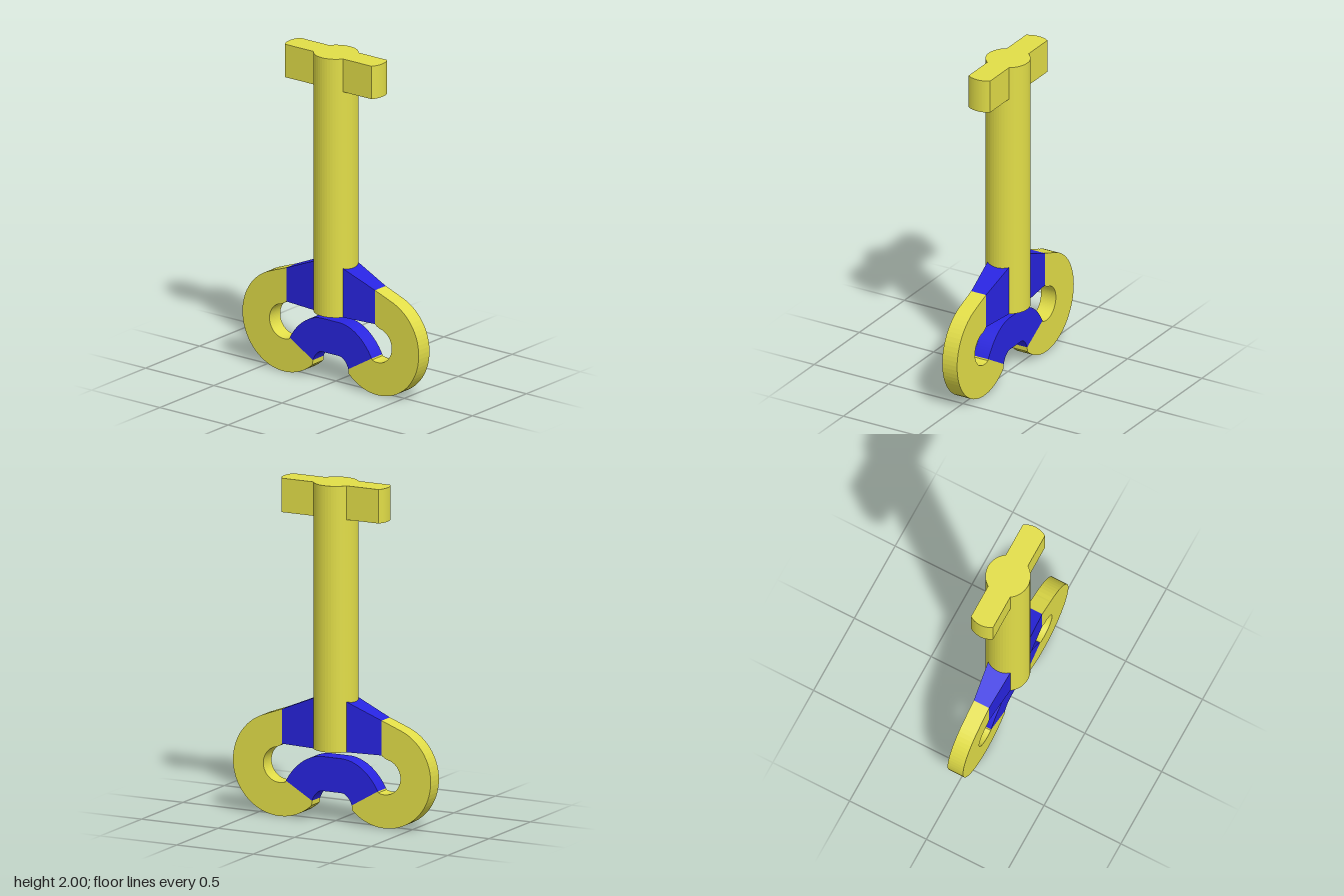
import * as THREE from 'three';

const yellow = new THREE.MeshStandardMaterial({ color: 0xe2de48, flatShading: true });
const blue = new THREE.MeshStandardMaterial({ color: 0x2824e0, flatShading: true });

function part(name, geometry, material) {
  const mesh = new THREE.Mesh(geometry, material);
  mesh.name = name;
  return mesh;
}

// Plate drawn in (z, y), its thickness centred on x = 0
function plate(shape, thickness) {
  const g = new THREE.ExtrudeGeometry(shape, { depth: thickness, bevelEnabled: false, curveSegments: 20 });
  return g.translate(0, 0, -thickness / 2).rotateY(-Math.PI / 2);
}

// Crossbar with rounded ends
function crossbarGeometry() {
  const w = 0.072, r = 0.13, tip = 0.34;
  const a = Math.asin(w / r), c = tip - r;
  const s = new THREE.Shape();
  s.absarc(0, c, r, Math.PI / 2 - a, Math.PI / 2 + a, false);
  s.absarc(0, -c, r, 1.5 * Math.PI - a, 1.5 * Math.PI + a, false);
  s.closePath();
  const g = new THREE.ExtrudeGeometry(s, { depth: 0.2, bevelEnabled: false, curveSegments: 8 });
  return g.rotateX(-Math.PI / 2).translate(0, 1.8, 0);
}

// C-shaped hook around an open eye
function hookGeometry() {
  const cz = 0.343, cy = 0.305, deg = Math.PI / 180;
  const s = new THREE.Shape();
  s.moveTo(0.325, 0.635);
  s.lineTo(0.42, 0.6);
  s.absarc(cz, cy, 0.303, 73 * deg, -134 * deg, true);
  s.lineTo(0.13, 0.115);
  s.lineTo(0.3, 0.215);
  s.absarc(cz, cy, 0.105, -112 * deg, 70 * deg, false);
  s.quadraticCurveTo(0.345, 0.41, 0.325, 0.43);
  s.closePath();
  return plate(s, 0.1);
}

// Arched bridge joining the two hooks
function bridgeGeometry() {
  const s = new THREE.Shape();
  s.moveTo(0.3, 0.215);
  s.bezierCurveTo(0.25, 0.31, 0.16, 0.383, 0.06, 0.383);
  s.lineTo(-0.06, 0.383);
  s.bezierCurveTo(-0.16, 0.383, -0.25, 0.31, -0.3, 0.215);
  s.lineTo(-0.13, 0.115);
  s.bezierCurveTo(-0.115, 0.155, -0.09, 0.18, -0.06, 0.18);
  s.lineTo(0.06, 0.18);
  s.bezierCurveTo(0.09, 0.18, 0.115, 0.155, 0.13, 0.115);
  s.closePath();
  return plate(s, 0.1);
}

// Bracket that narrows and drops away from the shaft
function bracketGeometry() {
  const g = new THREE.BoxGeometry(1, 1, 1);
  const p = g.attributes.position;
  for (let i = 0; i < p.count; i++) {
    const outer = p.getZ(i) > 0;
    const top = outer ? 0.635 : 0.73;
    p.setXYZ(i, Math.sign(p.getX(i)) * (outer ? 0.05 : 0.073), p.getY(i) > 0 ? top : 0.43, outer ? 0.325 : 0.1);
  }
  g.computeVertexNormals();
  return g;
}

export function createModel() {
  const model = new THREE.Group();
  model.name = 'hookedRod';

  const shaft = part('shaft', new THREE.CylinderGeometry(0.13, 0.13, 1.57, 48), yellow);
  shaft.position.y = 0.43 + 1.57 / 2;
  model.add(shaft, part('crossbar', crossbarGeometry(), yellow), part('bridge', bridgeGeometry(), blue));

  // Front and back arms
  const hook = hookGeometry(), bracket = bracketGeometry();
  for (const [name, angle] of [['frontArm', 0], ['backArm', Math.PI]]) {
    const arm = new THREE.Group();
    arm.name = name;
    arm.add(part('hook', hook, yellow), part('bracket', bracket, blue));
    arm.rotation.y = angle;
    model.add(arm);
  }
  return model;
}
